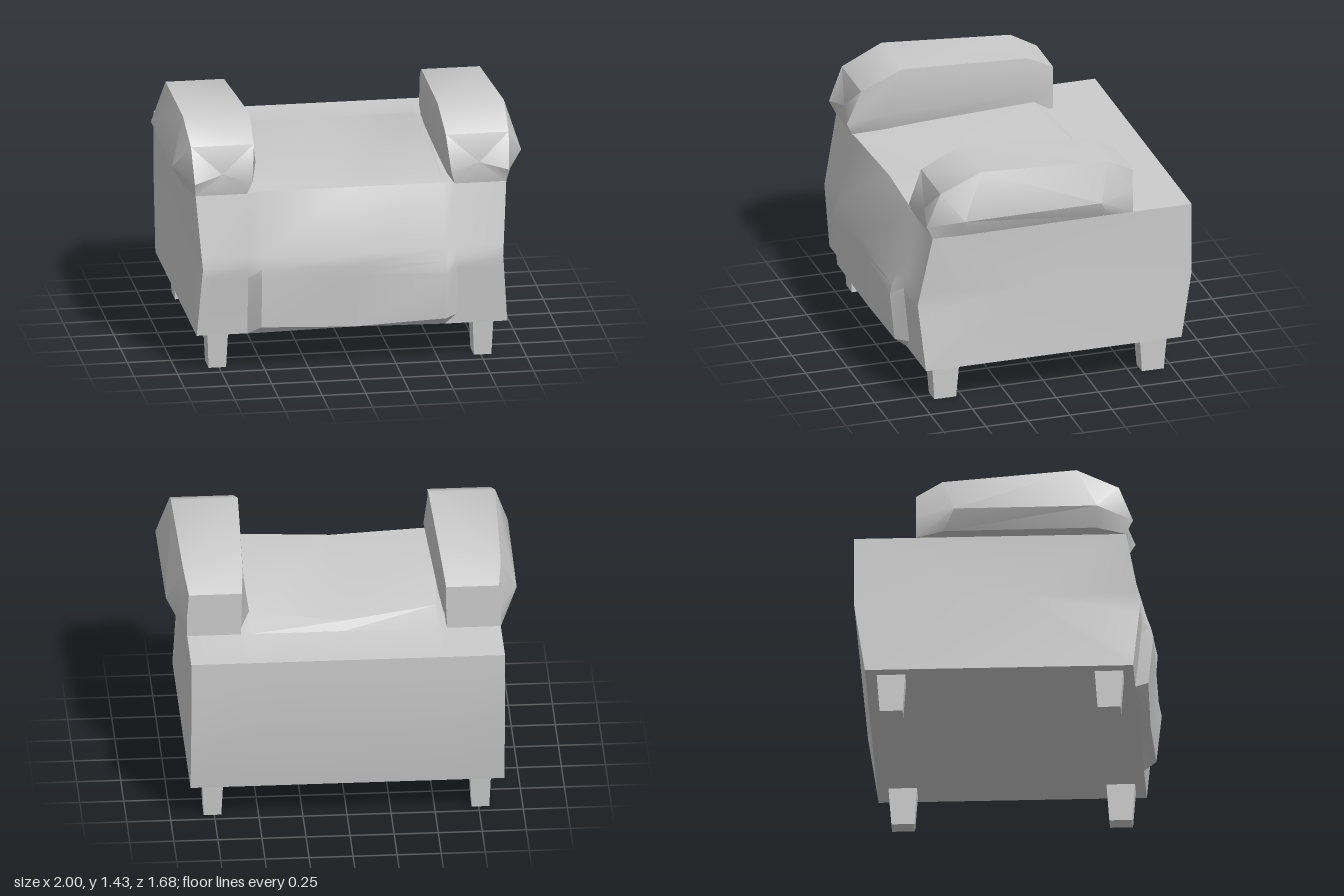
import * as THREE from 'three';
import { toCreasedNormals } from 'three/addons/utils/BufferGeometryUtils.js';

const material = new THREE.MeshStandardMaterial({ color: 0xcccccc });

// Skin a closed solid over equal-length rings of [x, y, z], with fan caps at both ends.
function loft(rings, crease) {
  const n = rings[0].length;
  const points = rings.flat();
  const faces = [];
  for (let r = 0; r < rings.length - 1; r++) {
    for (let i = 0; i < n; i++) {
      const j = (i + 1) % n, a = r * n, b = a + n;
      faces.push([a + i, a + j, b + j], [a + i, b + j, b + i]);
    }
  }
  for (const r of [0, rings.length - 1]) {
    const centre = [0, 1, 2].map(k => rings[r].reduce((s, p) => s + p[k], 0) / n);
    const c = points.push(centre) - 1;
    for (let i = 0; i < n; i++) {
      const a = r * n + i, b = r * n + (i + 1) % n;
      faces.push(r === 0 ? [c, b, a] : [c, a, b]);
    }
  }
  // Turn the faces outward if the enclosed volume comes out negative.
  const v = points.map(p => new THREE.Vector3(...p));
  const volume = faces.reduce((s, [a, b, c]) => s + v[a].dot(v[b].clone().cross(v[c])), 0);
  if (volume < 0) faces.forEach(f => f.reverse());
  const geometry = new THREE.BufferGeometry().setFromPoints(v);
  geometry.setIndex(faces.flat());
  return toCreasedNormals(geometry, crease);
}

function addMesh(parent, name, geometry) {
  const mesh = new THREE.Mesh(geometry, material);
  mesh.name = name;
  parent.add(mesh);
  return mesh;
}

// Body: side profiles [y, z] set along x, with a puffed front panel and seat.
function bodyGeometry() {
  const back = [[1.04, -0.49], [1.04, -0.84], [0.62, -0.84], [0.22, -0.78]];
  const side = [[0.22, 0.74], [0.28, 0.746], [0.56, 0.774], [0.62, 0.78], [0.69, 0.767], [1.04, 0.7], [1.04, -0.36], ...back];
  const panel = [[0.22, 0.74], [0.275, 0.81], [0.56, 0.84], [0.62, 0.825], [0.69, 0.8], [1.05, 0.7], [1.12, -0.36], ...back];
  const middle = [[0.23, 0.74], [0.25, 0.8], [0.56, 0.815], [0.62, 0.83], [0.69, 0.84], [1.04, 0.67], [1.08, -0.44], ...back];
  const inset = [0, 0.005, 0.025, 0.03, 0.025];
  const column = (x, profile) => profile.map(([y, z]) => [x, y, z]);
  const end = s => side.map(([y, z], i) => [s * (0.89 - (inset[i] || 0)), y, z]);
  return loft([
    end(-1), column(-0.6, side), column(-0.53, panel), column(0, middle),
    column(0.53, panel), column(0.6, side), end(1),
  ], 0.65);
}

// Padded arm: rings from back to front, each running
// outer bottom, outer bulge, outer top, inner top, inner bulge, inner bottom.
function armGeometry(s) {
  const rings = [
    [[0.89, 1.04, -0.49], [0.89, 1.17, -0.49], [0.88, 1.3, -0.49], [0.58, 1.3, -0.49], [0.58, 1.17, -0.49], [0.585, 1.04, -0.49]],
    [[0.93, 1.06, -0.33], [0.995, 1.17, -0.27], [0.9, 1.38, -0.34], [0.565, 1.38, -0.34], [0.55, 1.17, -0.33], [0.58, 1.04, -0.33]],
    [[0.94, 1.06, 0.53], [1, 1.17, 0.54], [0.92, 1.43, 0.42], [0.54, 1.43, 0.42], [0.52, 1.17, 0.53], [0.58, 1.04, 0.53]],
    [[0.89, 1.04, 0.7], [0.9, 1.12, 0.74], [0.91, 1.32, 0.66], [0.55, 1.32, 0.66], [0.57, 1.12, 0.74], [0.595, 1.04, 0.7]],
  ];
  return loft(rings.map(ring => ring.map(([x, y, z]) => [s * x, y, z])), 0.8);
}

// Square leg, narrower at the foot.
function legGeometry() {
  const square = (w, d, y) => [[-w, y, -d], [w, y, -d], [w, y, d], [-w, y, d]];
  return loft([square(0.05, 0.065, 0), square(0.06, 0.082, 0.23)], 0.3);
}

export function createModel() {
  const model = new THREE.Group();
  model.name = 'armchair';
  addMesh(model, 'body', bodyGeometry());
  const leg = legGeometry();
  for (const s of [1, -1]) {
    const label = s > 0 ? 'left' : 'right';
    addMesh(model, label + 'Arm', armGeometry(s));
    addMesh(model, label + 'FrontLeg', leg).position.set(s * 0.76, 0, 0.6);
    addMesh(model, label + 'BackLeg', leg).position.set(s * 0.76, 0, -0.635);
  }
  return model;
}
